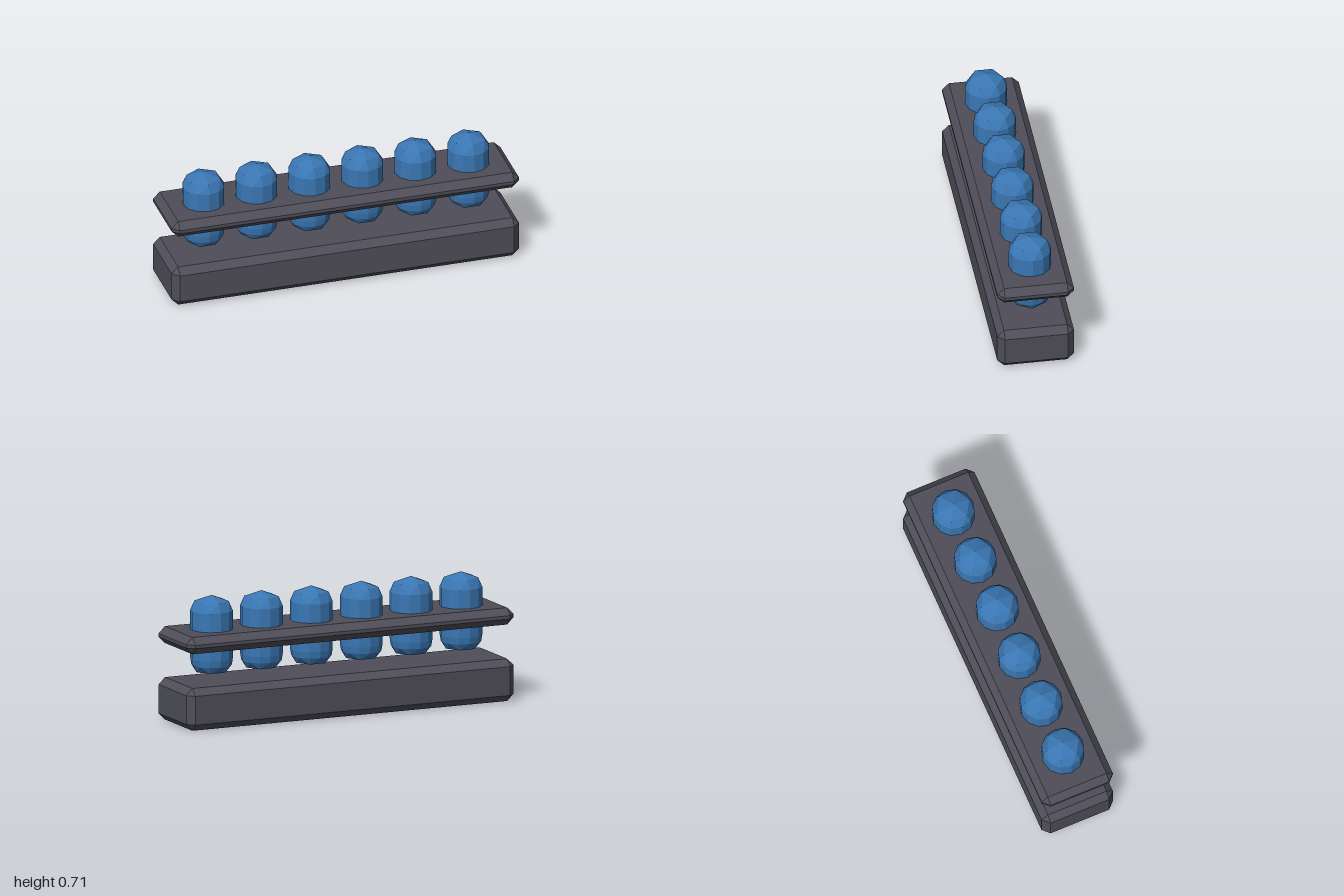
import * as THREE from 'three';
import { ConvexGeometry } from 'three/addons/geometries/ConvexGeometry.js';

const slate = new THREE.MeshStandardMaterial({ name: 'slate grey', color: 0x4f4e59 });
const blue = new THREE.MeshStandardMaterial({ name: 'blue', color: 0x3a77b4 });

// Box with every edge and corner cut at 45 degrees
function chamferedBox(w, h, d, c) {
  const points = [];
  const [x, y, z] = [w / 2, h / 2, d / 2];
  for (const sx of [-1, 1]) for (const sy of [-1, 1]) for (const sz of [-1, 1]) {
    points.push(
      new THREE.Vector3(sx * x, sy * (y - c), sz * (z - c)),
      new THREE.Vector3(sx * (x - c), sy * y, sz * (z - c)),
      new THREE.Vector3(sx * (x - c), sy * (y - c), sz * z));
  }
  return new ConvexGeometry(points);
}

// Faceted capsule: hull of rings [height, radius, sides, start angle]
function capsuleGeometry() {
  const rings = [
    [0.288, 0.092, 6, 0],
    [0.325, 0.112, 12, 0],
    [0.362, 0.118, 12, 0],
    [0.63, 0.118, 12, 0],
    [0.682, 0.095, 6, Math.PI / 6],
    [0.715, 0, 1, 0],
  ];
  const points = [];
  for (const [y, r, sides, start] of rings) {
    for (let i = 0; i < sides; i++) {
      const a = start + (i / sides) * Math.PI * 2;
      points.push(new THREE.Vector3(r * Math.cos(a), y, r * Math.sin(a)));
    }
  }
  return new ConvexGeometry(points);
}

export function createModel() {
  const model = new THREE.Group();
  model.name = 'capsuleRack';
  const add = (name, geometry, material, x, y) => {
    const mesh = new THREE.Mesh(geometry, material);
    mesh.name = name;
    mesh.position.set(x, y, 0);
    model.add(mesh);
  };

  // Base block and the plate floating above it
  add('base', chamferedBox(2, 0.238, 0.428, 0.038), slate, 0, 0.119);
  add('upperPlate', chamferedBox(2, 0.095, 0.428, 0.038), slate, 0, 0.4775);

  // Row of capsules passing through the plate
  const capsule = capsuleGeometry();
  for (let i = 0; i < 6; i++) add('capsule' + (i + 1), capsule, blue, -0.764 + i * 0.305, 0);

  return model;
}
